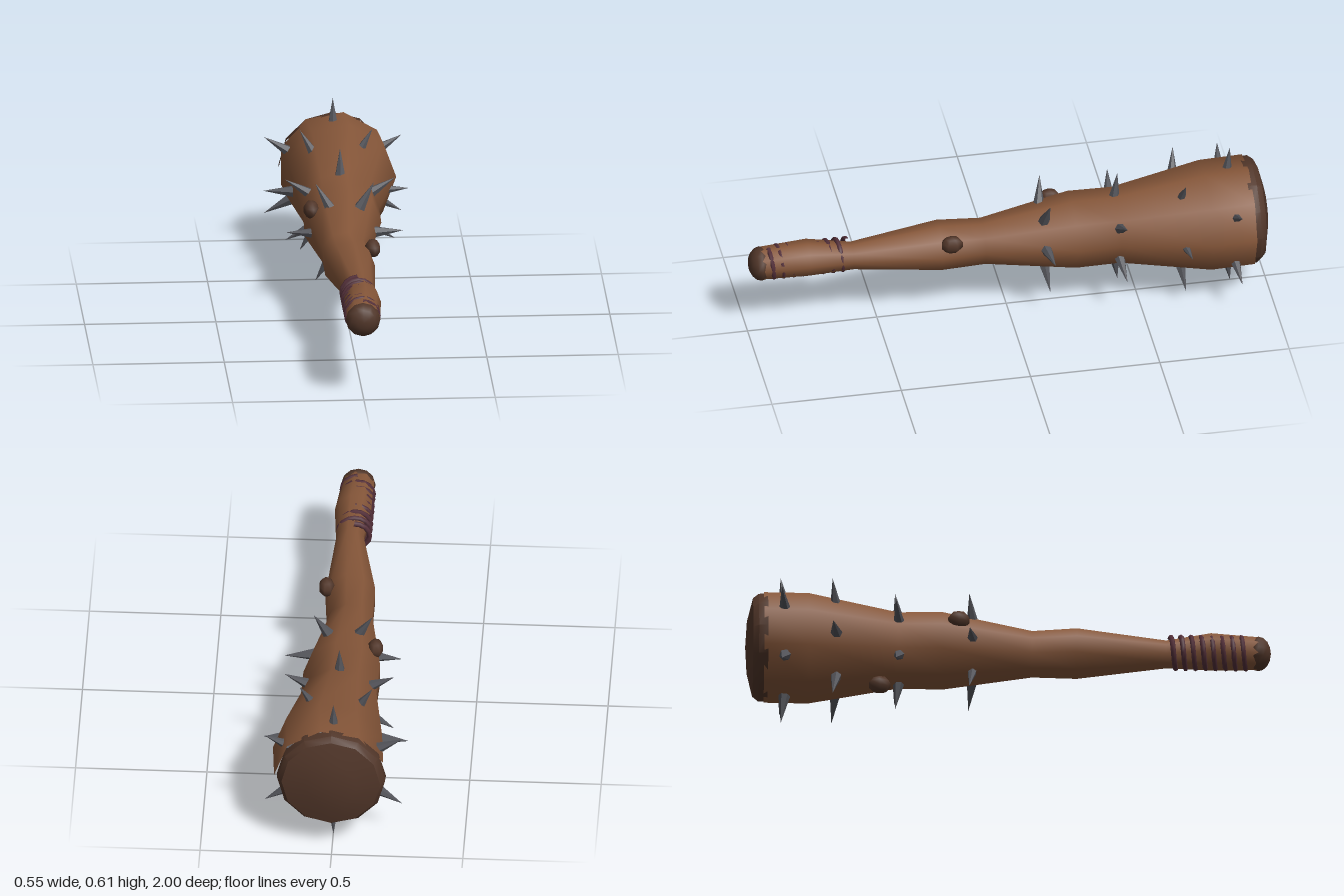
import * as THREE from 'three';
import { toCreasedNormals } from 'three/addons/utils/BufferGeometryUtils.js';

const mat = (name, color, flatShading = false) => {
  const m = new THREE.MeshStandardMaterial({ color, flatShading });
  m.name = name;
  return m;
};

// Shaft: nine-sided rings of [z, radius, centre x, centre y]
function shaftGeometry() {
  const rings = [
    [0.95, 0.064, 0, 0.305], [0.77, 0.072, 0.008, 0.315], [0.6, 0.054, 0.013, 0.305],
    [0.26, 0.098, -0.008, 0.295], [0.09, 0.09, -0.014, 0.288], [-0.25, 0.15, -0.004, 0.303],
    [-0.42, 0.148, 0, 0.305], [-0.76, 0.214, 0.021, 0.32], [-0.93, 0.214, 0.008, 0.316],
  ];
  const sides = 9, positions = [], index = [];
  rings.forEach(([z, r, cx, cy], i) => {
    for (let j = 0; j < sides; j++) {
      const a = (j / sides) * Math.PI * 2;
      positions.push(cx + r * Math.cos(a), cy + r * Math.sin(a), z);
      if (i === rings.length - 1) continue;
      const p = i * sides + j, q = i * sides + ((j + 1) % sides);
      index.push(p, p + sides, q, q, p + sides, q + sides);
    }
  });
  const g = new THREE.BufferGeometry();
  g.setAttribute('position', new THREE.Float32BufferAttribute(positions, 3));
  g.setIndex(index);
  g.computeVertexNormals();
  return g;
}

export function createModel() {
  const wood = mat('wood', 0x855639);
  const darkWood = mat('dark wood', 0x513629);
  const metal = mat('dark metal', 0x54555b, true);
  const leather = mat('leather', 0x54303a);

  const group = new THREE.Group();
  group.name = 'spikedClub';
  const add = (name, geometry, material, parent = group) => {
    const mesh = new THREE.Mesh(geometry, material);
    mesh.name = name;
    parent.add(mesh);
    return mesh;
  };

  add('shaft', shaftGeometry(), wood);

  // Shallow domed end of the head
  const profile = [[0.207, 0.915], [0.205, 0.95], [0.188, 0.972], [0.1, 0.994], [0, 1]]
    .map(([r, y]) => new THREE.Vector2(r, y));
  const endGeometry = toCreasedNormals(new THREE.LatheGeometry(profile, 12), 0.6);
  endGeometry.rotateX(-Math.PI / 2);
  add('headEnd', endGeometry, darkWood).position.set(0.004, 0.317, 0);

  // Rounded pommel
  const pommel = add('pommel', new THREE.SphereGeometry(1, 12, 8).rotateX(Math.PI / 2), darkWood);
  pommel.position.set(0, 0.305, 0.95);
  pommel.scale.set(0.066, 0.066, 0.048);

  // Spiral grip wrap, partly sunk into the handle
  const turns = 8, points = [];
  for (let i = 0; i <= turns * 12; i++) {
    const a = Math.PI / 2 + (i / 12) * Math.PI * 2;
    points.push(new THREE.Vector3(
      0.06 * Math.cos(a), 0.307 + 0.06 * Math.sin(a), 0.615 + 0.305 * (i / (turns * 12))));
  }
  add('gripWrap', new THREE.TubeGeometry(new THREE.CatmullRomCurve3(points), turns * 16, 0.01, 6), leather);

  // Knots in the wood
  const knotGeometry = new THREE.SphereGeometry(1, 7, 5);
  for (const [x, y, z] of [[0.083, 0.355, 0.225], [-0.125, 0.38, -0.19], [-0.055, 0.138, -0.49]]) {
    const knot = add('knot', knotGeometry, darkWood);
    knot.position.set(x, y, z);
    knot.scale.set(0.031, 0.035, 0.044);
  }

  // Four staggered rings of six spikes: [z, tip distance, start angle]
  const length = 0.115;
  const spikeGeometry = new THREE.ConeGeometry(0.023, length, 6).translate(0, -length / 2, 0);
  const spikes = new THREE.Group();
  spikes.name = 'spikes';
  group.add(spikes);
  const up = new THREE.Vector3(0, 1, 0);
  for (const [z, tip, start] of [[-0.15, 0.224, 0], [-0.43, 0.242, 30], [-0.67, 0.277, 0], [-0.865, 0.303, 30]]) {
    for (let i = 0; i < 6; i++) {
      const a = THREE.MathUtils.degToRad(start + i * 60);
      const spike = add('spike', spikeGeometry, metal, spikes);
      spike.position.set(tip * Math.cos(a), 0.303 + tip * Math.sin(a), z);
      spike.quaternion.setFromUnitVectors(up, new THREE.Vector3(Math.cos(a), Math.sin(a), -0.12).normalize());
    }
  }
  return group;
}
